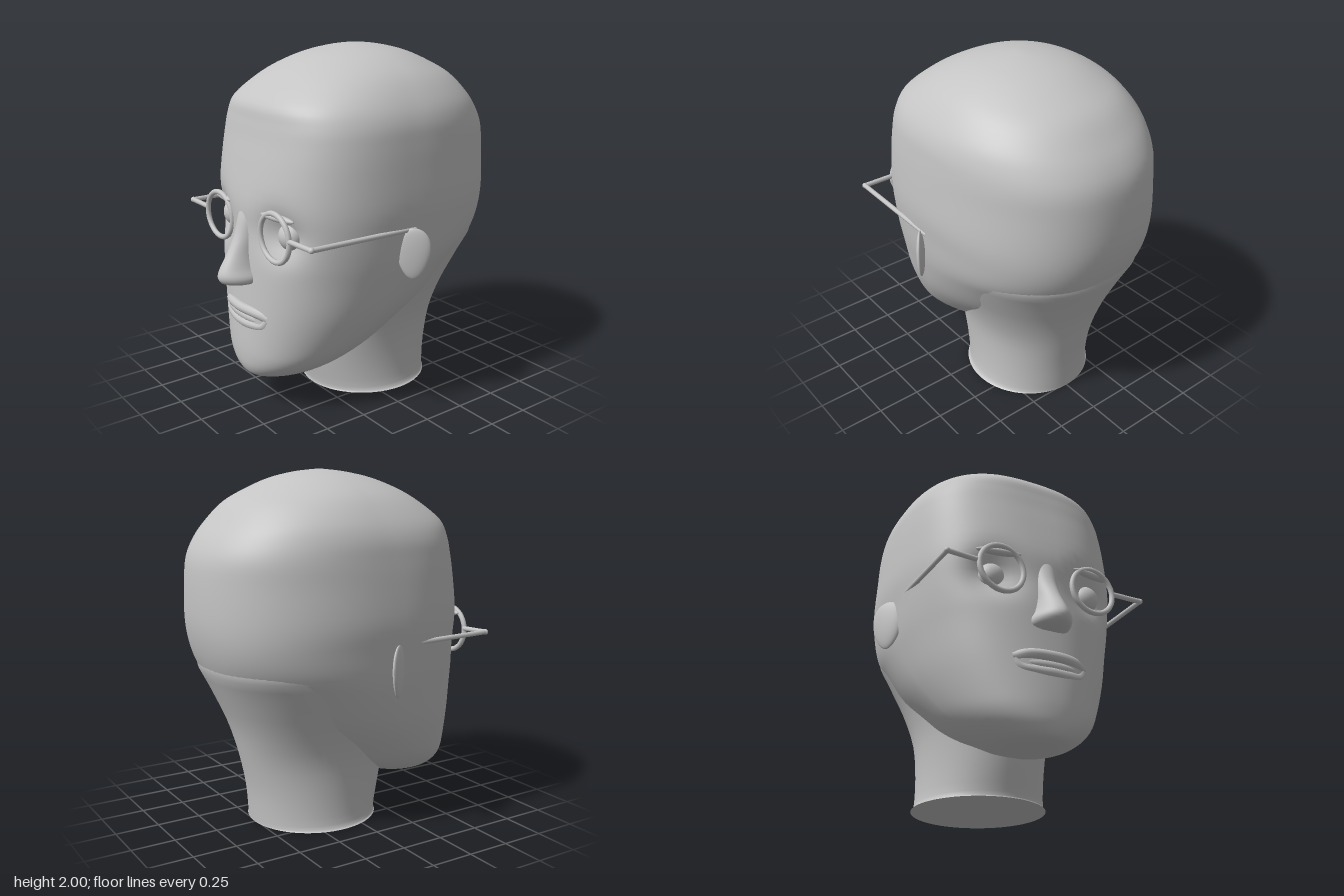
import * as THREE from 'three';

// Smooth in-between rows through a list of cross-section rows
function refine(rows, steps) {
  const out = [];
  for (let i = 0; i < rows.length - 1; i++) {
    const p0 = rows[Math.max(i - 1, 0)], p1 = rows[i], p2 = rows[i + 1], p3 = rows[Math.min(i + 2, rows.length - 1)];
    for (let s = 0; s < steps; s++) {
      const t = s / steps;
      out.push(p1.map((b, k) => {
        const a = p0[k], c = p2[k], d = p3[k];
        return 0.5 * (2 * b + (c - a) * t + (2 * a - 5 * b + 4 * c - d) * t * t + (3 * b - a - 3 * c + d) * t * t * t);
      }));
    }
  }
  out.push(rows[rows.length - 1]);
  return out;
}

// Loft of horizontal sections, bottom to top.
// Row: [y, half width, z of widest point, front z, back z, front squareness, back squareness]
function loft(rows, { steps = 3, n = 80, capBottom = true, shape = null } = {}) {
  const all = refine(rows, steps), pos = [], idx = [];
  for (const [y, w, zm, zf, zb, pf, pb] of all) {
    for (let j = 0; j < n; j++) {
      const t = (j / n) * Math.PI * 2, s = Math.sin(t), c = Math.cos(t);
      const e = 2 / (c >= 0 ? pf : pb);
      const x = w * Math.sign(s) * Math.abs(s) ** e;
      const z = zm + (c >= 0 ? zf - zm : zb - zm) * Math.abs(c) ** e;
      pos.push(x, y, shape ? shape(x, y, z) : z);
    }
  }
  for (let i = 0; i < all.length - 1; i++) {
    for (let j = 0; j < n; j++) {
      const a = i * n + j, b = i * n + ((j + 1) % n);
      idx.push(a, b, a + n, b, b + n, a + n);
    }
  }
  const pole = (r, top) => {
    const [y, , , zf, zb] = all[r], k = pos.length / 3;
    pos.push(0, y, (zf + zb) / 2);
    for (let j = 0; j < n; j++) {
      const a = r * n + j, b = r * n + ((j + 1) % n);
      if (top) idx.push(k, a, b); else idx.push(k, b, a);
    }
  };
  if (capBottom) pole(0, false);
  pole(all.length - 1, true);
  const g = new THREE.BufferGeometry();
  g.setAttribute('position', new THREE.Float32BufferAttribute(pos, 3));
  g.setIndex(idx);
  g.computeVertexNormals();
  return g;
}

export function createModel() {
  const model = new THREE.Group();
  const clay = new THREE.MeshStandardMaterial({ color: 0xc4c4c4 });
  clay.name = 'light grey clay';

  const add = (name, geometry, parent = model) => {
    const m = new THREE.Mesh(geometry, clay);
    m.name = name;
    parent.add(m);
    return m;
  };
  const tube = (points, r, seg = 24) => new THREE.TubeGeometry(
    new THREE.CatmullRomCurve3(points.map(p => new THREE.Vector3(...p))), seg, r, 10);
  const ball = (name, [x, y, z], [sx, sy, sz], parent = model) => {
    const m = add(name, new THREE.SphereGeometry(1, 28, 20), parent);
    m.position.set(x, y, z);
    m.scale.set(sx, sy, sz);
    return m;
  };

  // Skull and jaw, with the eye sockets pressed in
  const head = [
    [0.18, 0.04, 0.58, 0.63, 0.53, 2, 2],
    [0.20, 0.18, 0.48, 0.69, 0.28, 2, 2],
    [0.25, 0.28, 0.42, 0.72, 0.14, 2.1, 2],
    [0.32, 0.36, 0.36, 0.73, -0.10, 2.2, 1.8],
    [0.42, 0.43, 0.28, 0.73, -0.36, 2.2, 1.6],
    [0.60, 0.515, 0.16, 0.72, -0.58, 2.3, 1.75],
    [0.80, 0.575, 0.06, 0.71, -0.71, 2.4, 2.0],
    [0.92, 0.60, 0.03, 0.705, -0.775, 2.5, 2.3],
    [1.05, 0.615, 0.02, 0.70, -0.82, 2.6, 2.4],
    [1.20, 0.63, 0.00, 0.70, -0.845, 2.6, 2.3],
    [1.40, 0.622, 0.00, 0.665, -0.845, 2.7, 2.25],
    [1.53, 0.612, -0.02, 0.638, -0.83, 2.8, 2.25],
    [1.63, 0.598, -0.04, 0.62, -0.785, 2.8, 2.2],
    [1.72, 0.56, -0.06, 0.595, -0.715, 2.7, 2.2],
    [1.82, 0.485, -0.07, 0.48, -0.62, 2.5, 2.1],
    [1.89, 0.40, -0.07, 0.37, -0.50, 2.3, 2],
    [1.95, 0.28, -0.07, 0.23, -0.36, 2.1, 2],
    [1.985, 0.15, -0.07, 0.08, -0.22, 2, 2],
    [2.0, 0.03, -0.07, -0.04, -0.10, 2, 2],
  ];
  const sockets = (x, y, z) => z > 0.3
    ? z - 0.07 * Math.exp(-(((Math.abs(x) - 0.285) / 0.13) ** 2) - ((y - 1.06) / 0.12) ** 2) : z;
  add('head', loft(head, { n: 112, steps: 4, shape: sockets }));

  // Neck, open below and closed with a flat base
  add('neck', loft([
    [0.00, 0.37, -0.13, 0.25, -0.51, 2, 2],
    [0.03, 0.35, -0.13, 0.25, -0.512, 2, 2],
    [0.20, 0.345, -0.12, 0.29, -0.53, 2, 2],
    [0.40, 0.365, -0.10, 0.32, -0.575, 2, 2],
    [0.60, 0.43, -0.10, 0.30, -0.635, 2, 2.1],
    [0.80, 0.525, -0.10, 0.25, -0.725, 2, 2.15],
    [0.95, 0.57, -0.10, 0.20, -0.785, 2, 2.3],
    [1.10, 0.52, -0.12, 0.10, -0.74, 2, 2],
  ], { capBottom: false }));
  const base = add('neckBase', new THREE.CircleGeometry(1, 80));
  base.rotation.x = Math.PI / 2;
  base.scale.set(0.37, 0.38, 1);
  base.position.z = -0.13;

  // Nose
  add('nose', loft([
    [0.75, 0.05, 0.70, 0.79, 0.60, 2, 2],
    [0.765, 0.10, 0.69, 0.835, 0.60, 1.8, 2],
    [0.80, 0.11, 0.69, 0.853, 0.58, 1.8, 2],
    [0.85, 0.085, 0.69, 0.835, 0.58, 1.9, 2],
    [0.93, 0.07, 0.66, 0.787, 0.58, 2, 2],
    [1.02, 0.075, 0.63, 0.742, 0.56, 2, 2],
    [1.12, 0.085, 0.60, 0.712, 0.54, 2, 2],
    [1.22, 0.09, 0.56, 0.675, 0.50, 2, 2],
  ], { n: 48 }));

  // Lips
  const lips = new THREE.Group();
  lips.name = 'lips';
  model.add(lips);
  add('upperLip', tube([[-0.2, 0.585, 0.668], [-0.13, 0.603, 0.703], [0, 0.606, 0.722],
    [0.13, 0.603, 0.703], [0.2, 0.585, 0.668]], 0.028), lips);
  add('lowerLip', tube([[-0.195, 0.575, 0.668], [-0.165, 0.535, 0.682], [-0.08, 0.521, 0.704], [0, 0.52, 0.712],
    [0.08, 0.521, 0.704], [0.165, 0.535, 0.682], [0.195, 0.575, 0.668]], 0.027, 36), lips);
  ball('mouthFill', [0, 0.558, 0.665], [0.19, 0.045, 0.065], lips);

  // Ears, eyes and eyelids on both sides
  for (const s of [1, -1]) {
    const side = s > 0 ? 'left' : 'right', cx = s > 0 ? 0.295 : -0.27;
    ball(side + 'Eye', [s > 0 ? 0.3 : -0.275, 1.06, 0.58], [0.075, 0.075, 0.066]);
    const lid = ball(side + 'Eyelid', [cx, 1.172, 0.662], [0.125, 0.02, 0.022]);
    lid.rotation.y = s * 0.17;

    const g = new THREE.SphereGeometry(1, 28, 20), p = g.attributes.position;
    for (let i = 0; i < p.count; i++) p.setX(i, p.getX(i) * (1 + 0.22 * p.getY(i)));
    g.scale(0.09, 0.143, 0.022);
    g.computeVertexNormals();
    const ear = add(side + 'Ear', g);
    ear.position.set(s * 0.638, 0.942, 0.03);
    ear.rotation.y = s * 0.9;
  }

  // Spectacles: rims, front bars and side arms
  const glasses = new THREE.Group();
  glasses.name = 'spectacles';
  model.add(glasses);
  const frames = [
    ['left', 0.29, 0.677, [0.425, 1.08, 0.673], [0.61, 1.083, 0.667], [0.612, 1.072, 0.0]],
    ['right', -0.265, 0.686, [-0.4, 1.08, 0.685], [-0.575, 1.085, 0.692], [-0.605, 1.075, 0.02]],
  ];
  for (const [side, x, z, inner, hinge, tip] of frames) {
    const rim = add(side + 'Rim', new THREE.TorusGeometry(0.13, 0.015, 10, 40), glasses);
    rim.position.set(x, 1.066, z);
    rim.rotation.y = 0.04;
    add(side + 'FrontBar', tube([inner, hinge], 0.014, 1), glasses);
    add(side + 'Arm', tube([hinge, tip], 0.014, 1), glasses);
    ball(side + 'Hinge', hinge, [0.016, 0.016, 0.016], glasses);
  }
  return model;
}
